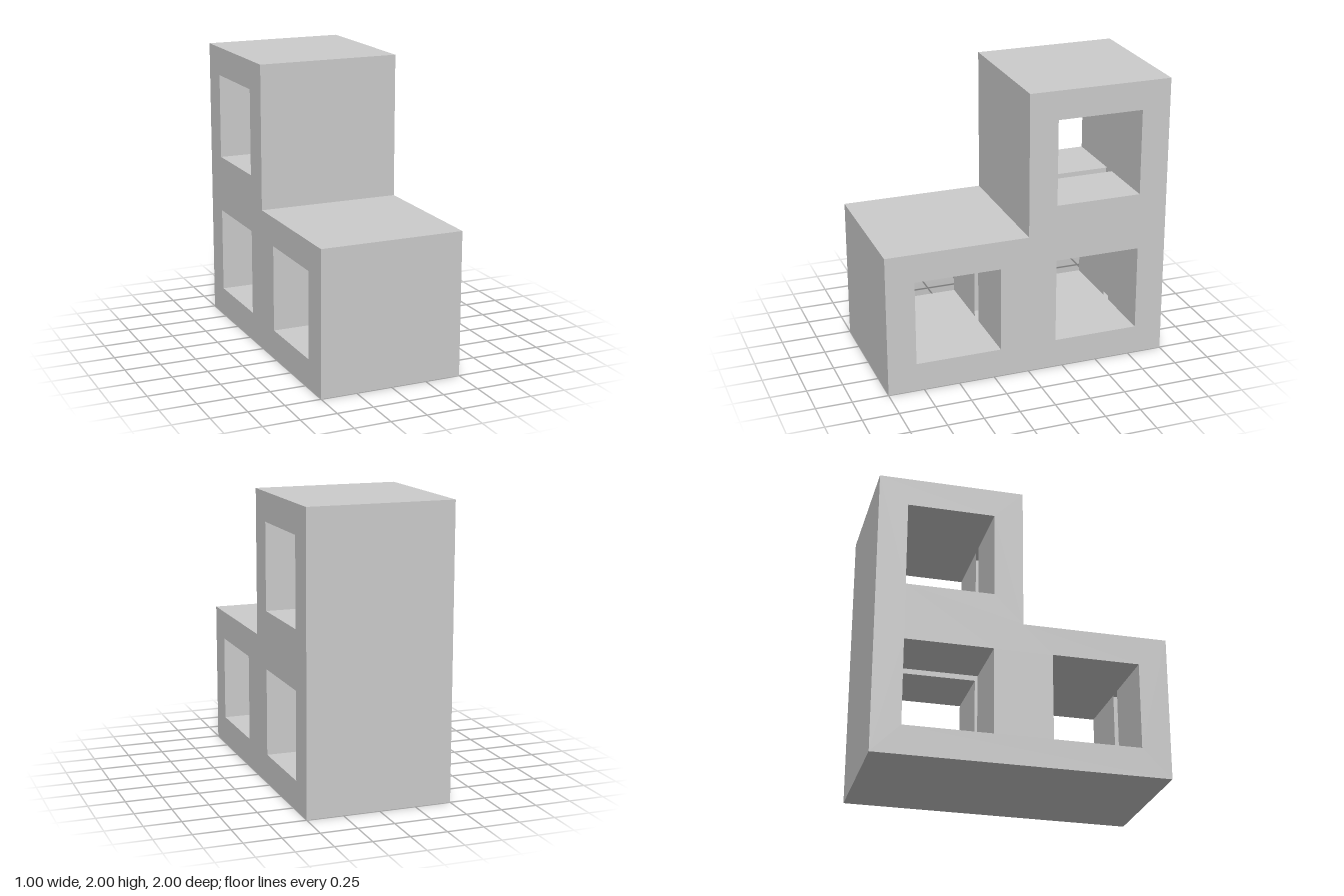
import * as THREE from 'three';

const material = new THREE.MeshStandardMaterial({ color: 0xcccccc, flatShading: true, side: THREE.DoubleSide });

// Stepped side profile (drawn as [-z, y]) and the three square tunnels, one per cube
const outline = [[-1, 0], [1, 0], [1, 2], [0, 2], [0, 1], [-1, 1]];
const tunnelCentres = [[-0.5, 0.5], [0.5, 0.5], [0.5, 1.5]];
const half = 0.3; // half the tunnel opening
const seam = 0.04; // tunnel sleeves stop just short of the middle

const squareAt = ([a, y]) => [[a - half, y - half], [a - half, y + half], [a + half, y + half], [a + half, y - half]];
const toVectors = (points) => points.map(([a, y]) => new THREE.Vector2(a, y));

// Walls swept along x around a closed profile
function wallGeometry(points, x0, x1) {
  const positions = [];
  points.forEach(([a, y], i) => {
    const [b, v] = points[(i + 1) % points.length];
    positions.push(x0, y, -a, x0, v, -b, x1, v, -b);
    positions.push(x0, y, -a, x1, v, -b, x1, y, -a);
  });
  const geometry = new THREE.BufferGeometry();
  geometry.setAttribute('position', new THREE.Float32BufferAttribute(positions, 3));
  geometry.computeVertexNormals();
  return geometry;
}

export function createModel() {
  const model = new THREE.Group();
  model.name = 'steppedBlock';
  const add = (name, geometry, mirrored = false) => {
    const mesh = new THREE.Mesh(geometry, material);
    mesh.name = name;
    if (mirrored) mesh.scale.x = -1;
    model.add(mesh);
  };

  // Outer skin: base, back, tops and step fronts
  add('outerSkin', wallGeometry(outline, -0.5, 0.5));

  // Side panels with square openings
  const profile = new THREE.Shape(toVectors(outline));
  profile.holes = tunnelCentres.map((c) => new THREE.Path(toVectors(squareAt(c))));
  const panel = new THREE.ShapeGeometry(profile).rotateY(Math.PI / 2).translate(0.5, 0, 0);

  for (const [side, mirrored] of [['left', false], ['right', true]]) {
    add(`${side}Panel`, panel, mirrored);
    // Sleeves lining each tunnel from this side
    tunnelCentres.forEach((c, i) => {
      add(`${side}TunnelSleeve${i + 1}`, wallGeometry(squareAt(c), seam, 0.5), mirrored);
    });
  }
  return model;
}
